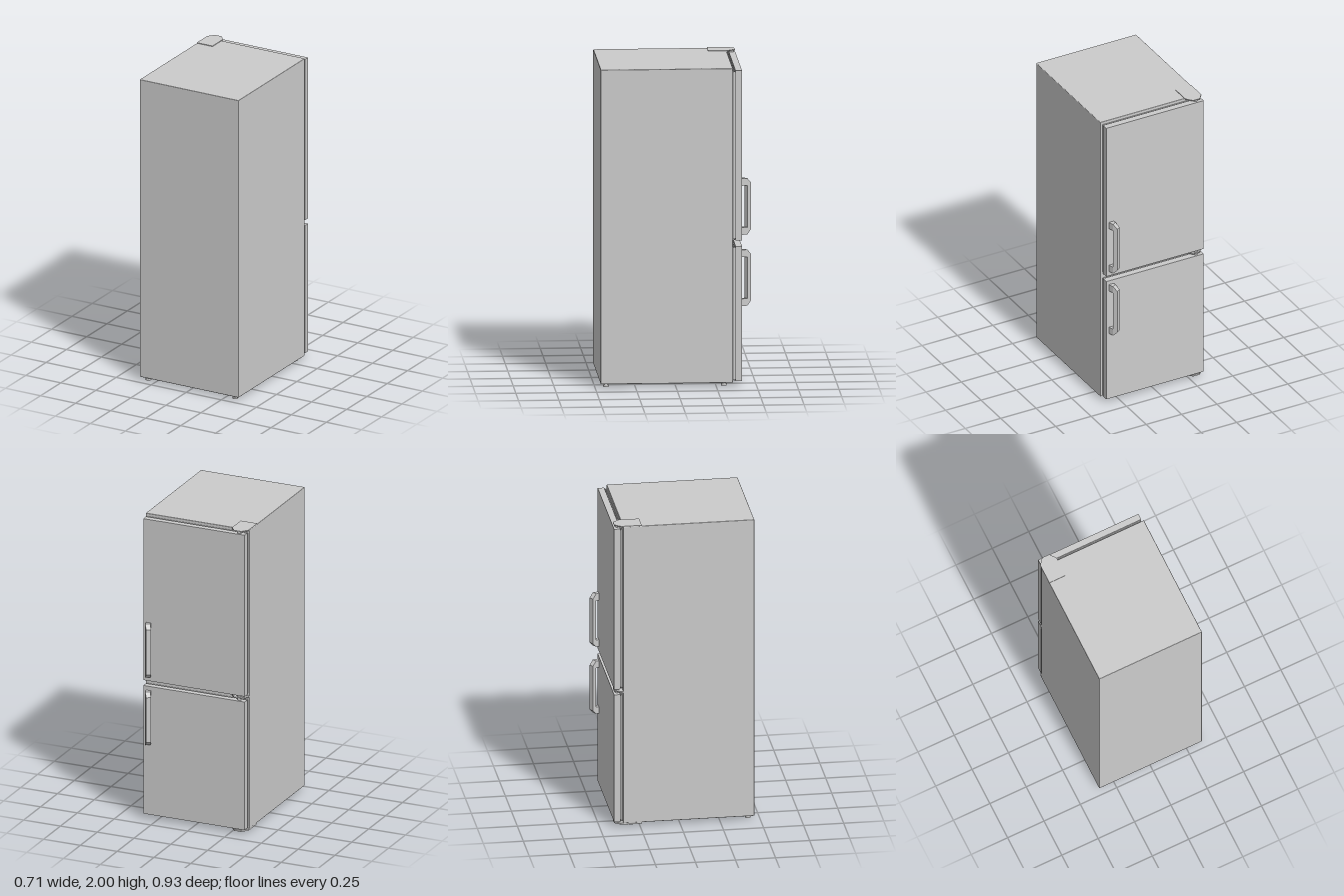
import * as THREE from 'three';
import { RoundedBoxGeometry } from 'three/addons/geometries/RoundedBoxGeometry.js';
import { ConvexGeometry } from 'three/addons/geometries/ConvexGeometry.js';

const material = new THREE.MeshStandardMaterial({ color: 0xcccccc });
const flat = new THREE.MeshStandardMaterial({ color: 0xcccccc, flatShading: true });

export function createModel() {
  const model = new THREE.Group();
  model.name = 'refrigerator';

  const add = (name, geometry, parent = model, mat = material) => {
    const mesh = new THREE.Mesh(geometry, mat);
    mesh.name = name;
    parent.add(mesh);
    return mesh;
  };
  // Box given by its limits on each axis
  const box = (name, x0, x1, y0, y1, z0, z1, parent) =>
    add(name, new THREE.BoxGeometry(x1 - x0, y1 - y0, z1 - z0), parent)
      .position.set((x0 + x1) / 2, (y0 + y1) / 2, (z0 + z1) / 2);
  // Vertical pin or foot
  const cylinder = (name, r, x, y0, y1, z, parent) =>
    add(name, new THREE.CylinderGeometry(r, r, y1 - y0, 20), parent)
      .position.set(x, (y0 + y1) / 2, z);
  // Horizontal plate from an outline of [x, z] points
  const plate = (name, outline, y0, y1) => {
    const shape = new THREE.Shape(outline.map(([x, z]) => new THREE.Vector2(x, -z)));
    const geometry = new THREE.ExtrudeGeometry(shape, { depth: y1 - y0, bevelEnabled: false });
    add(name, geometry.rotateX(-Math.PI / 2)).position.y = y0;
  };

  // Cabinet with slightly softened edges
  add('cabinet', new RoundedBoxGeometry(0.706, 1.974, 0.818, 2, 0.004))
    .position.set(0, 1.009, 0.056);

  // Handle: two stand-off legs and an angled grip with chamfered ends
  const legSection = [[0.292, -0.409], [0.325, -0.409], [0.314, -0.445], [0.288, -0.428]];
  const gripInner = [[0.288, -0.428], [0.314, -0.445]];
  const gripOuter = [[0.297, -0.467], [0.272, -0.45]];
  const prism = (section, y0, y1) =>
    section.flatMap(([x, z]) => [new THREE.Vector3(x, y0, z), new THREE.Vector3(x, y1, z)]);
  const addHandle = (name, y0, y1) => {
    const handle = new THREE.Group();
    handle.name = name;
    add('lowerLeg', new ConvexGeometry(prism(legSection, y0, y0 + 0.045)), handle, flat);
    add('upperLeg', new ConvexGeometry(prism(legSection, y1 - 0.045, y1)), handle, flat);
    add('grip', new ConvexGeometry([
      ...prism(gripInner, y0, y1), ...prism(gripOuter, y0 + 0.028, y1 - 0.028),
    ]), handle, flat);
    model.add(handle);
  };

  // Doors, each with a grooved gasket behind it
  const doors = [
    { name: 'upper', y0: 0.913, y1: 1.98, h0: 0.945, h1: 1.298 },
    { name: 'lower', y0: 0.03, y1: 0.877, h0: 0.498, h1: 0.85 },
  ];
  for (const { name, y0, y1, h0, h1 } of doors) {
    box(name + 'Door', -0.345, 0.343, y0, y1, -0.41, -0.37);
    const gasket = new THREE.Group();
    gasket.name = name + 'Gasket';
    model.add(gasket);
    [[-0.358, -0.352, 0.004], [-0.362, -0.358, 0.01], [-0.367, -0.362, 0.004], [-0.37, -0.367, 0.01]]
      .forEach(([z0, z1, inset], i) =>
        box('rib' + i, -0.345 + inset, 0.343 - inset, y0 + inset, y1 - inset, z0, z1, gasket));
    addHandle(name + 'Handle', h0, h1);
  }

  // Hinge plates at the top, middle and bottom, with pins
  const hingeOutline = (back) => [
    [-0.352, back], [-0.24, back], [-0.24, -0.367], [-0.272, -0.406], [-0.32, -0.406], [-0.352, -0.367],
  ];
  plate('topHinge', hingeOutline(-0.238), 1.994, 2);
  plate('middleHinge', hingeOutline(-0.35), 0.891, 0.899);
  plate('bottomHinge', hingeOutline(-0.238), 0.013, 0.023);
  cylinder('topPin', 0.014, -0.3, 1.978, 1.996, -0.385);
  cylinder('middlePin', 0.014, -0.3, 0.875, 0.915, -0.385);
  cylinder('bottomPin', 0.014, -0.3, 0.012, 0.032, -0.385);

  // Feet
  for (const x of [-0.31, 0.31]) {
    for (const z of [-0.3, 0.43]) {
      cylinder('foot', 0.012, x, 0.008, 0.024, z);
      cylinder('footPad', 0.018, x, 0, 0.012, z);
    }
  }
  return model;
}
